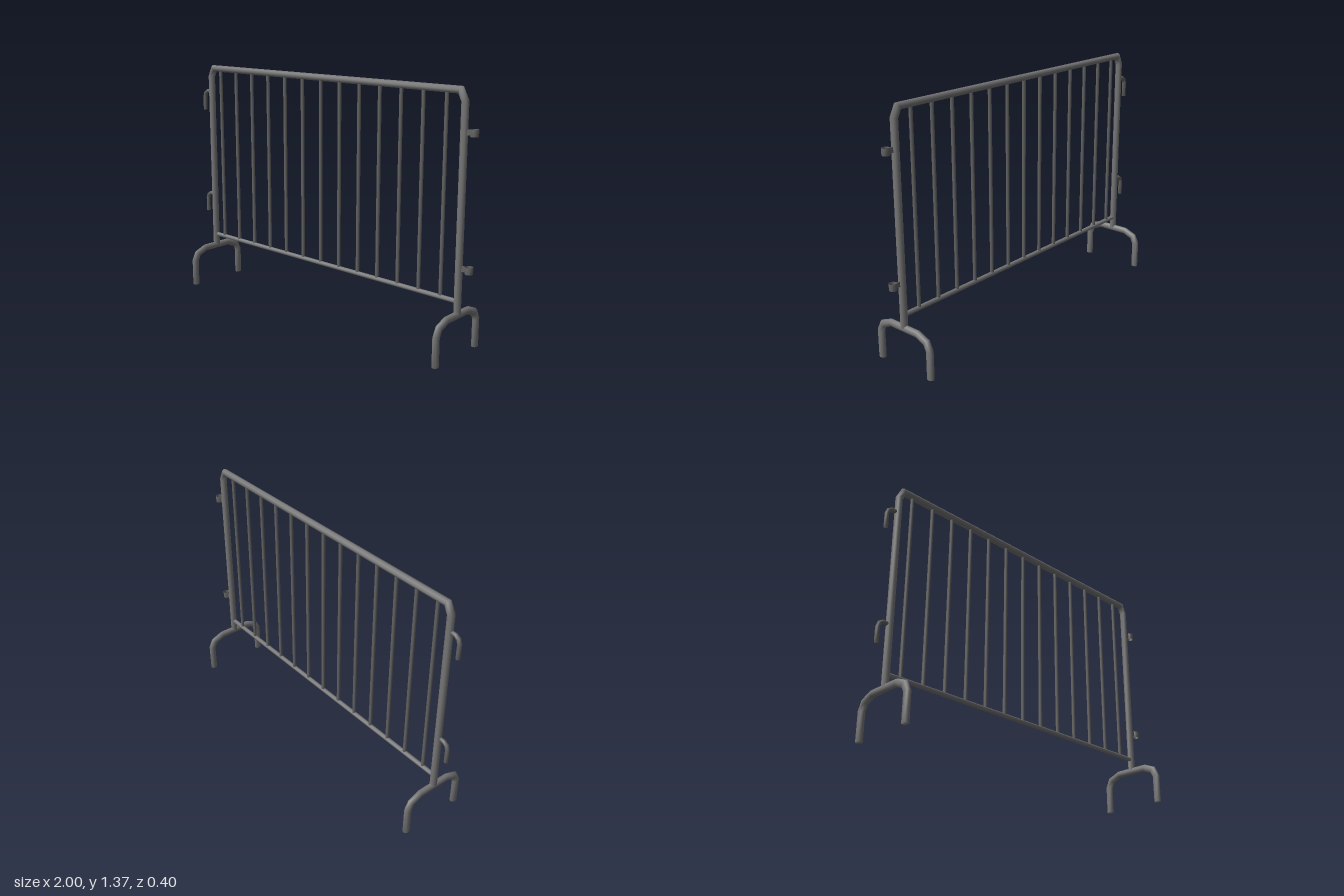
import * as THREE from 'three';

const steel = new THREE.MeshStandardMaterial({ color: 0x767676 });
const darkSteel = new THREE.MeshStandardMaterial({ color: 0x626262 });

// Sweeps a round section along a bent path in the XY plane, with mitred bends.
// Capped ends share the rim vertices, so the shading rolls over the end.
function bentPipe(path, radius, depth = radius, capped = false) {
  const sides = 8;
  const pts = path.map(([x, y]) => new THREE.Vector2(x, y));
  const last = pts.length - 1;
  const pos = [], index = [];
  const dir = (i) => pts[i + 1].clone().sub(pts[i]).normalize();
  for (let i = 0; i <= last; i++) {
    const after = dir(Math.min(i, last - 1));
    const t = dir(Math.max(i - 1, 0)).add(after).normalize();
    const r = radius / t.dot(after);
    for (let j = 0; j < sides; j++) {
      const a = (j / sides) * Math.PI * 2;
      const c = Math.cos(a) * r;
      pos.push(pts[i].x - t.y * c, pts[i].y + t.x * c, Math.sin(a) * depth);
    }
  }
  for (let i = 0; i < last; i++) {
    for (let j = 0; j < sides; j++) {
      const a = i * sides + j, b = i * sides + ((j + 1) % sides);
      index.push(a, b, b + sides, a, b + sides, a + sides);
    }
  }
  if (capped) {
    const end = last * sides;
    for (let j = 1; j < sides - 1; j++) {
      index.push(0, j + 1, j, end, end + j, end + j + 1);
    }
  }
  const geo = new THREE.BufferGeometry();
  geo.setAttribute('position', new THREE.Float32BufferAttribute(pos, 3));
  geo.setIndex(index);
  geo.computeVertexNormals();
  return geo;
}

export function createModel() {
  const barrier = new THREE.Group();
  barrier.name = 'crowdBarrier';

  const add = (name, geo, x = 0, y = 0, mat = steel) => {
    const mesh = new THREE.Mesh(geo, mat);
    mesh.name = name;
    mesh.position.set(x, y, 0);
    barrier.add(mesh);
    return mesh;
  };

  // Outer frame: two posts and the top rail in one bent pipe
  add('frame', bentPipe([
    [-0.92, 0.225], [-0.92, 1.3], [-0.894, 1.351],
    [0.894, 1.351], [0.92, 1.3], [0.92, 0.225],
  ], 0.019, 0.02));

  // Bottom rail
  add('bottomRail', bentPipe([[-0.92, 0.295], [0.92, 0.295]], 0.013));

  // Thin upright bars
  const barGeo = new THREE.CylinderGeometry(0.01, 0.01, 1.05, 8, 1, true);
  for (let i = 0; i < 13; i++) add('uprightBar', barGeo, -0.835 + i * 0.1375, 0.82, darkSteel);

  // Arched feet, running front to back under each post
  const half = [[0.178, 0], [0.178, 0.155], [0.157, 0.197], [0.095, 0.222]];
  const arch = [...half.map(([x, y]) => [-x, y]), ...half.slice().reverse()];
  const footGeo = bentPipe(arch, 0.021, 0.017, true);
  for (const side of [-1, 1]) {
    add(side > 0 ? 'leftFoot' : 'rightFoot', footGeo, side * 0.92).rotation.y = Math.PI / 2;
  }

  // Coupling hooks on the right post
  const hookGeo = bentPipe([
    [0, 0], [-0.035, 0], [-0.054, -0.012], [-0.063, -0.035], [-0.063, -0.118],
  ], 0.012, 0.012, true);
  for (const y of [1.208, 0.558]) add('hook', hookGeo, -0.925, y, darkSteel);

  // Coupling eyes on the left post: a flat arm and a thin-walled ring
  const wall = [[0.018, -0.018], [0.021, -0.018], [0.021, 0.018], [0.018, 0.018], [0.018, -0.018]];
  const ringGeo = new THREE.LatheGeometry(wall.map(([x, y]) => new THREE.Vector2(x, y)), 16);
  const armGeo = new THREE.BoxGeometry(0.035, 0.028, 0.009);
  for (const y of [1.152, 0.47]) {
    add('eyeArm', armGeo, 0.943, y, darkSteel);
    add('eyeRing', ringGeo, 0.979, y, darkSteel);
  }

  return barrier;
}
